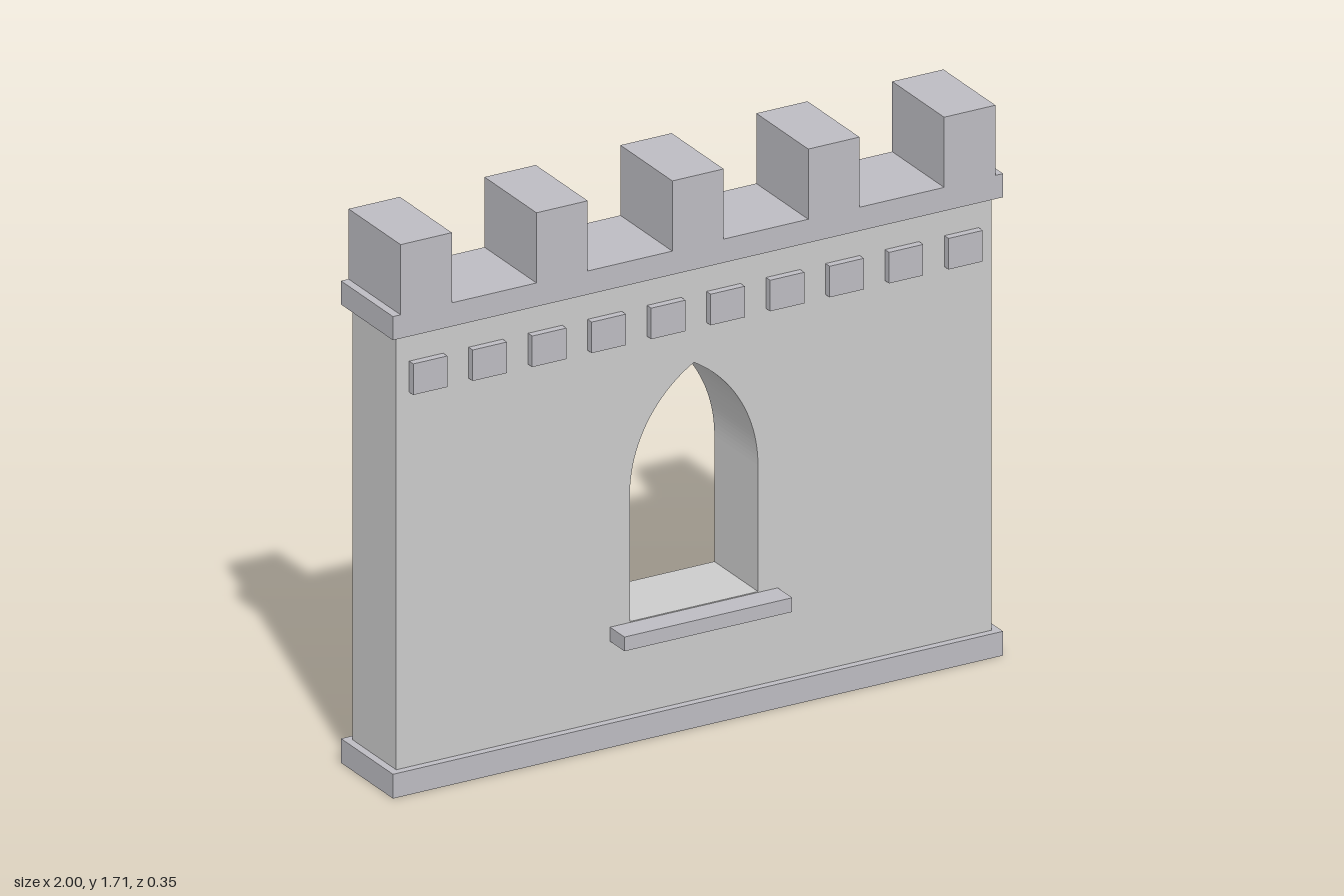
import * as THREE from 'three';

const stone = new THREE.MeshStandardMaterial({ color: 0xcccccc, flatShading: true });
const trim = new THREE.MeshStandardMaterial({ color: 0xbdbcc2, flatShading: true });

// Box given by its min and max corners
function block(name, [x0, y0, z0], [x1, y1, z1]) {
  const mesh = new THREE.Mesh(new THREE.BoxGeometry(x1 - x0, y1 - y0, z1 - z0), trim);
  mesh.position.set((x0 + x1) / 2, (y0 + y1) / 2, (z0 + z1) / 2);
  mesh.name = name;
  return mesh;
}

// Pointed window outline: two arcs, each centred on the opposite springing point
function windowPath(half, bottom, spring) {
  const path = new THREE.Path();
  path.moveTo(-half, bottom);
  path.lineTo(half, bottom);
  path.lineTo(half, spring);
  path.absarc(-half, spring, half * 2, 0, Math.PI / 3, false);
  path.absarc(half, spring, half * 2, Math.PI * 2 / 3, Math.PI, false);
  path.lineTo(-half, bottom);
  return path;
}

export function createModel() {
  const model = new THREE.Group();
  model.name = 'castleWall';

  const wallBack = -0.151, wallFront = 0.094;
  const trimBack = -0.175, trimFront = 0.117;
  const wallHalf = 0.976;
  const baseTop = 0.075, bandBottom = 1.417, bandTop = 1.49, top = 1.707;

  // Wall with window opening
  const shape = new THREE.Shape([
    new THREE.Vector2(-wallHalf, baseTop), new THREE.Vector2(wallHalf, baseTop),
    new THREE.Vector2(wallHalf, bandBottom), new THREE.Vector2(-wallHalf, bandBottom),
  ]);
  shape.holes.push(windowPath(0.21, 0.364, 0.755));
  const wall = new THREE.Mesh(new THREE.ExtrudeGeometry(shape, {
    depth: wallFront - wallBack, bevelEnabled: false, curveSegments: 16,
  }), stone);
  wall.position.z = wallBack;
  wall.name = 'wall';
  model.add(wall);

  // Plinth, top band and window sill
  model.add(
    block('plinth', [-1, 0, trimBack], [1, baseTop, trimFront]),
    block('topBand', [-1, bandBottom, trimBack], [1, bandTop, trimFront]),
    block('windowSill', [-0.275, 0.317, wallFront], [0.275, 0.361, 0.175]),
  );

  // Battlements
  const merlons = new THREE.Group();
  merlons.name = 'battlements';
  for (let i = -2; i <= 2; i++) {
    const x = i * 0.4455;
    merlons.add(block('merlon', [x - 0.084, bandTop, trimBack], [x + 0.084, top, trimFront]));
  }
  model.add(merlons);

  // Row of small projecting stones on the front
  const stones = new THREE.Group();
  stones.name = 'stoneRow';
  for (let i = 0; i < 10; i++) {
    const x = (i - 4.5) * 0.195;
    stones.add(block('projectingStone', [x - 0.056, 1.233, wallFront], [x + 0.056, 1.329, trimFront]));
  }
  model.add(stones);

  return model;
}
